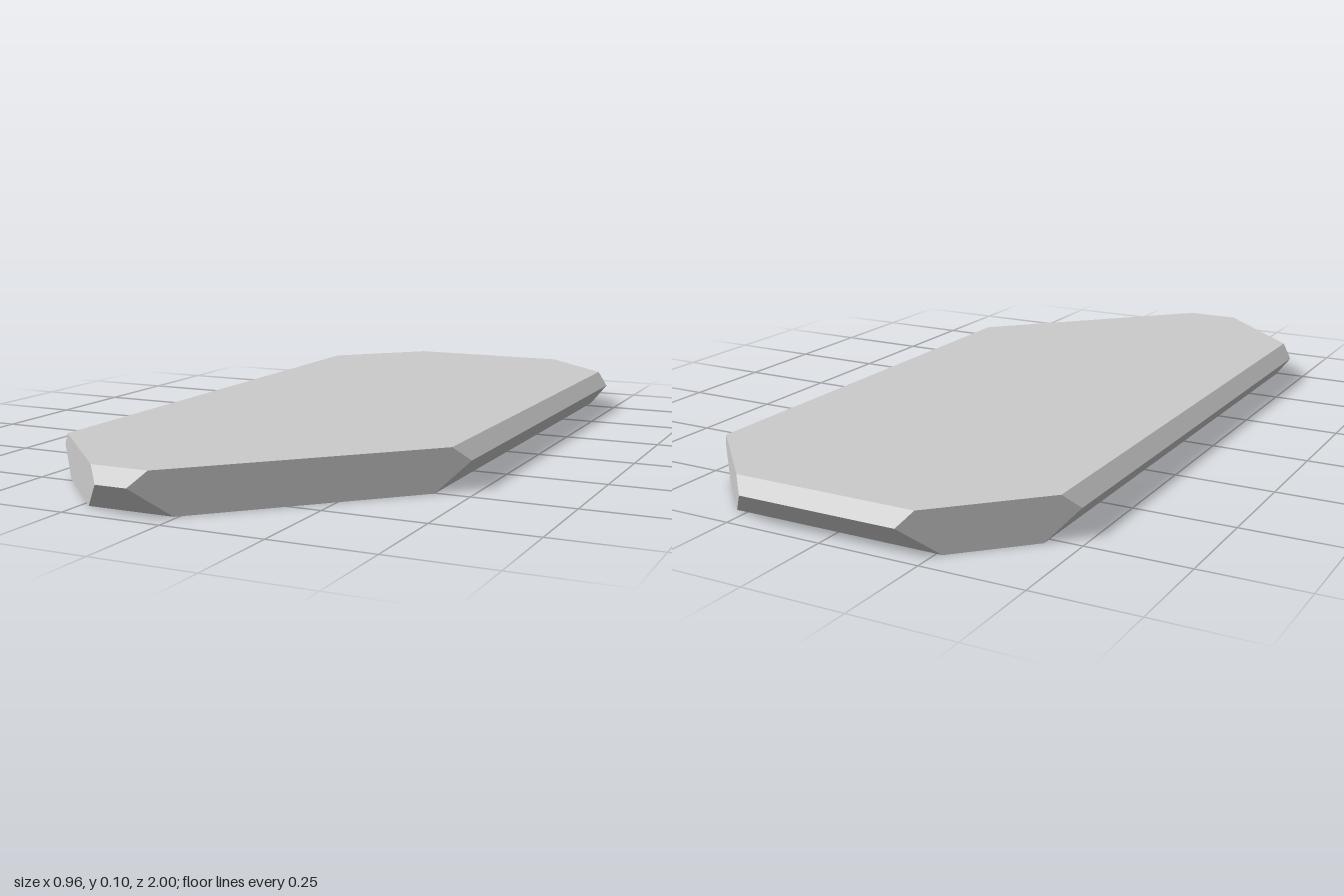
import * as THREE from 'three';

// Diagonal corner walls: vertical planes sx * x + sz * z = d
const CUT = { frontLeft: 0.92, backLeft: 1.21, backRight: 1.195, frontRight: 1.16 };

// Horizontal sections, from the base up to the flat top
const LEVELS = [
  { y: 0, left: 0.415, right: -0.42, front: 0.93, back: -0.93 },
  { y: 0.07, left: 0.48, right: -0.48, front: 1, back: -1 },
  { y: 0.105, left: 0.445, right: -0.447, front: 0.967, back: -0.97 },
];

// Eight-cornered outline, anticlockwise seen from above
function outline({ y, left, right, front, back }) {
  return [
    [left, CUT.frontLeft - left],
    [left, left - CUT.backLeft],
    [CUT.backLeft + back, back],
    [-CUT.backRight - back, back],
    [right, -CUT.backRight - right],
    [right, CUT.frontRight + right],
    [front - CUT.frontRight, front],
    [CUT.frontLeft - front, front],
  ].map(([x, z]) => [x, y, z]);
}

function plateGeometry() {
  const rings = LEVELS.map(outline);
  const n = rings[0].length;
  const positions = [];
  const tri = (a, b, c) => positions.push(...a, ...b, ...c);

  // Bevelled and vertical walls
  for (let k = 0; k < rings.length - 1; k++) {
    for (let i = 0; i < n; i++) {
      const j = (i + 1) % n;
      const [lo, hi] = [rings[k], rings[k + 1]];
      tri(lo[i], lo[j], hi[j]);
      tri(lo[i], hi[j], hi[i]);
    }
  }
  // Flat base and top
  const base = rings[0];
  const top = rings[rings.length - 1];
  for (let i = 1; i < n - 1; i++) {
    tri(base[0], base[i + 1], base[i]);
    tri(top[0], top[i], top[i + 1]);
  }

  const geometry = new THREE.BufferGeometry();
  geometry.setAttribute('position', new THREE.Float32BufferAttribute(positions, 3));
  geometry.computeVertexNormals();
  return geometry;
}

export function createModel() {
  const group = new THREE.Group();
  group.name = 'facetedPlate';
  const material = new THREE.MeshStandardMaterial({ color: 0xcccccc, flatShading: true });
  const plate = new THREE.Mesh(plateGeometry(), material);
  plate.name = 'plate';
  group.add(plate);
  return group;
}
